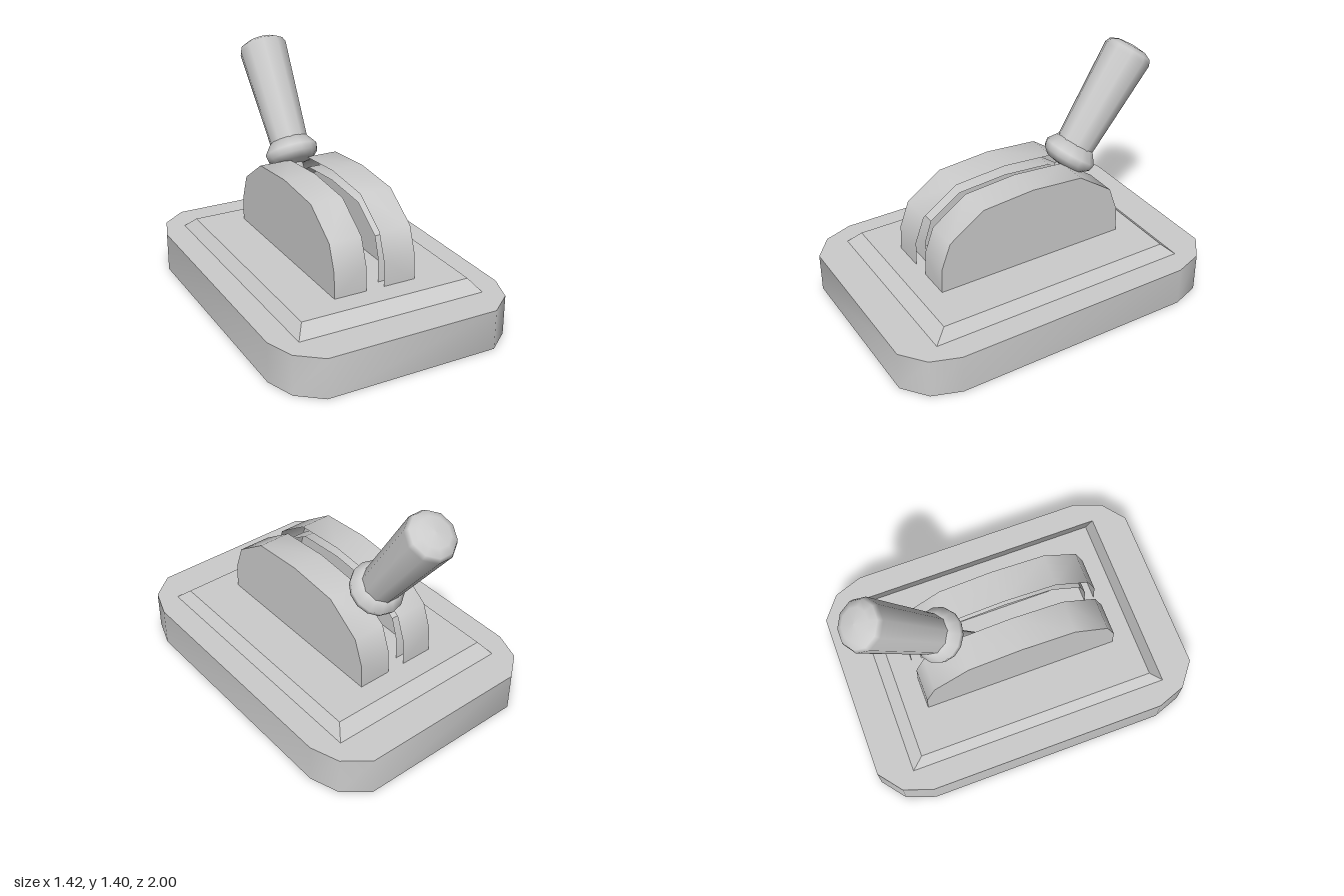
import * as THREE from 'three';
import { toCreasedNormals } from 'three/addons/utils/BufferGeometryUtils.js';

const grey = new THREE.MeshStandardMaterial({ color: 0xcccccc, side: THREE.DoubleSide });
const flat = new THREE.MeshStandardMaterial({ color: 0xcccccc, side: THREE.DoubleSide, flatShading: true });

const vecs = (pts) => pts.map(([x, y]) => new THREE.Vector2(x, y));

export function createModel() {
  const model = new THREE.Group();
  const add = (name, geometry, material = grey, parent = model) => {
    const mesh = new THREE.Mesh(geometry, material);
    mesh.name = name;
    parent.add(mesh);
    return mesh;
  };

  // Thin sheet: a 2D path swept along z from z0 to z1
  const sheet = (points, z0, z1, crease) => {
    const g = new THREE.PlaneGeometry(1, 1, points.length - 1, 1);
    const pos = g.attributes.position;
    for (let i = 0; i < pos.count; i++) {
      const p = points[i % points.length];
      pos.setXYZ(i, p.x, p.y, i < points.length ? z1 : z0);
    }
    return toCreasedNormals(g, crease);
  };

  // Symmetric base outline from one quadrant of points
  const outline = (inset) => {
    const q = [[0.71, 0.72], [0.65, 0.89], [0.51, 1]]
      .map(([x, z]) => [x * (1 - inset / 0.71), z * (1 - inset)]);
    const mirror = (sx, sz) => q.map(([x, z]) => [x * sx, z * sz]);
    return vecs([...q, ...mirror(-1, 1).reverse(), ...mirror(-1, -1), ...mirror(1, -1).reverse()]);
  };

  // Open-bottomed shell: a wall and a top with a rectangular hole
  const shell = (name, inset, top, hx, hz) => {
    const points = outline(inset);
    add(name + 'Wall', sheet([...points, points[0]], 0, top, 0.7).rotateX(-Math.PI / 2));
    const shape = new THREE.Shape(points);
    shape.holes.push(new THREE.Path(vecs([[-hx, -hz], [hx, -hz], [hx, hz], [-hx, hz]])));
    add(name + 'Top', new THREE.ShapeGeometry(shape).rotateX(-Math.PI / 2).translate(0, top, 0));
  };
  shell('base', 0, 0.235, 0.565, 0.795);
  shell('baseLining', 0.055, 0.18, 0.525, 0.75);

  // Four-sided bevelled plateau, open below
  const frustum = (xb, zb, yb, xt, yt) => {
    const g = new THREE.LatheGeometry(vecs([[Math.SQRT2, 0], [Math.SQRT2 * xt / xb, 1], [0, 1]]), 4);
    return g.rotateY(Math.PI / 4).scale(xb, yt - yb, zb).translate(0, yb, 0);
  };
  add('plateau', frustum(0.565, 0.795, 0.235, 0.513, 0.3), flat);
  add('plateauLining', frustum(0.525, 0.75, 0.18, 0.49, 0.24), flat);

  // Full arch in (z, y) from half a profile
  const arch = (half) =>
    vecs([...half, ...half.filter(([z]) => z > 0).reverse().map(([z, y]) => [-z, y])]);
  // Arched band spanning x0 to x1, and its flat side at x
  const band = (half, x0, x1, crease) => sheet(arch(half), -x1, -x0, crease).rotateY(-Math.PI / 2);
  const side = (half, x) =>
    new THREE.ShapeGeometry(new THREE.Shape(arch(half))).rotateY(-Math.PI / 2).translate(x, 0, 0);

  // Hollow housings: outer and inner skins, open towards the slot
  const outer = [[0.592, 0.22], [0.59, 0.3], [0.585, 0.45], [0.53, 0.6], [0.32, 0.745], [0, 0.77]];
  const inner = [[0.532, 0.22], [0.525, 0.435], [0.485, 0.56], [0.3, 0.687], [0, 0.71]];
  for (const [name, s] of [['left', 1], ['right', -1]]) {
    for (const [part, half, x] of [['Housing', outer, 0.25], ['HousingLining', inner, 0.19]]) {
      add(name + part + 'Band', band(half, s * 0.055, s * x, 0.65));
      add(name + part + 'Side', side(half, s * x));
    }
  }

  // Low pivot block in the slot
  const pivot = [[0.22, 0.22], [0.215, 0.33], [0.19, 0.385], [0.12, 0.42], [0, 0.435]];
  add('pivotBand', band(pivot, -0.055, 0.055, 0.8));
  for (const s of [1, -1]) add('pivotSide', side(pivot, s * 0.055));

  // Tilted lever
  const lever = new THREE.Group();
  lever.name = 'lever';
  lever.position.y = 0.168;
  lever.rotation.x = -0.609;
  model.add(lever);
  const turned = (name, pts, sides, start = 0) =>
    add(name, new THREE.LatheGeometry(vecs(pts), sides, start), grey, lever);
  turned('leverRod', [[0, 0.03], [0.047, 0.08], [0.047, 0.72]], 12);
  turned('collar', [[0, 0.63], [0.115, 0.655], [0.153, 0.69], [0.16, 0.73], [0.115, 0.792], [0, 0.8]], 14);
  turned('handle', [[0.115, 0.77], [0.147, 1.385], [0.133, 1.415], [0.09, 1.437], [0, 1.445]], 10, Math.PI / 10);

  return model;
}
